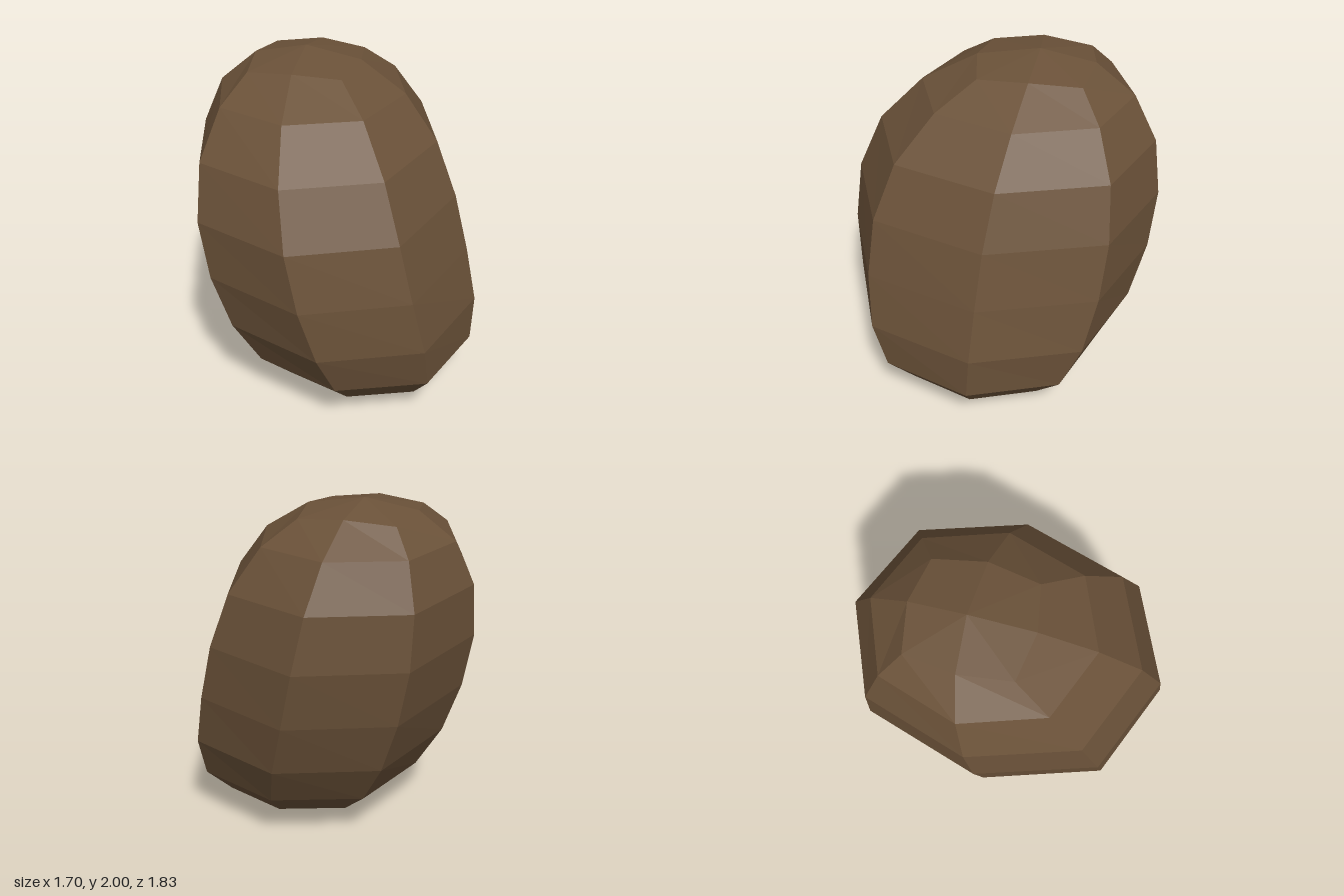
import * as THREE from 'three';

// Cross-sections from top to bottom: y, centre x, centre z, radius x, radius z
const RINGS = [
  [1.945, -0.225, -0.16, 0.315, 0.34],
  [1.78, -0.19, -0.115, 0.55, 0.615],
  [1.53, -0.14, -0.06, 0.70, 0.81],
  [1.22, -0.08, -0.015, 0.77, 0.90],
  [0.89, -0.005, 0.015, 0.785, 0.90],
  [0.57, 0.085, 0.04, 0.765, 0.84],
  [0.30, 0.16, 0.06, 0.68, 0.705],
  [0.125, 0.19, 0.07, 0.51, 0.52],
  [0.035, 0.195, 0.07, 0.285, 0.28],
];
const SIDES = 8;

// Eight points around a cross-section; the end rings are squarer, with their corners set back
function ringPoints([y, cx, cz, rx, rz], index) {
  const first = index === 0;
  const last = index === RINGS.length - 1;
  return Array.from({ length: SIDES }, (_, i) => {
    const a = (i / SIDES) * Math.PI * 2;
    const corner = i % 2 === 1;
    const bulge = corner ? (first || last ? 1.215 : 1.035) : 1;
    const dy = corner ? (first ? -0.025 : last ? 0.013 : 0) : 0;
    return [cx + Math.cos(a) * rx * bulge, y + dy, cz + Math.sin(a) * rz * bulge];
  });
}

function buildShell() {
  const rings = RINGS.map(ringPoints);
  const top = [-0.24, 2, -0.18];
  const bottom = [0.195, 0, 0.07];
  const pos = [];
  const tri = (...corners) => corners.forEach((p) => pos.push(...p));
  for (let i = 0; i < SIDES; i++) {
    const j = (i + 1) % SIDES;
    // End caps
    tri(top, rings[0][j], rings[0][i]);
    const end = rings[rings.length - 1];
    tri(bottom, end[i], end[j]);
    // Side faces between neighbouring rings
    for (let r = 0; r < rings.length - 1; r++) {
      const u = rings[r];
      const l = rings[r + 1];
      tri(u[i], u[j], l[i]);
      tri(u[j], l[j], l[i]);
    }
  }
  const geometry = new THREE.BufferGeometry();
  geometry.setAttribute('position', new THREE.Float32BufferAttribute(pos, 3));
  geometry.computeVertexNormals(); // unshared corners give flat facets
  return geometry;
}

export function createModel() {
  const brown = new THREE.MeshStandardMaterial({ color: 0x6b5239, flatShading: true });
  brown.name = 'brown';
  const body = new THREE.Mesh(buildShell(), brown);
  body.name = 'leaningBody';
  const model = new THREE.Group();
  model.name = 'leaningPebble';
  model.add(body);
  return model;
}
